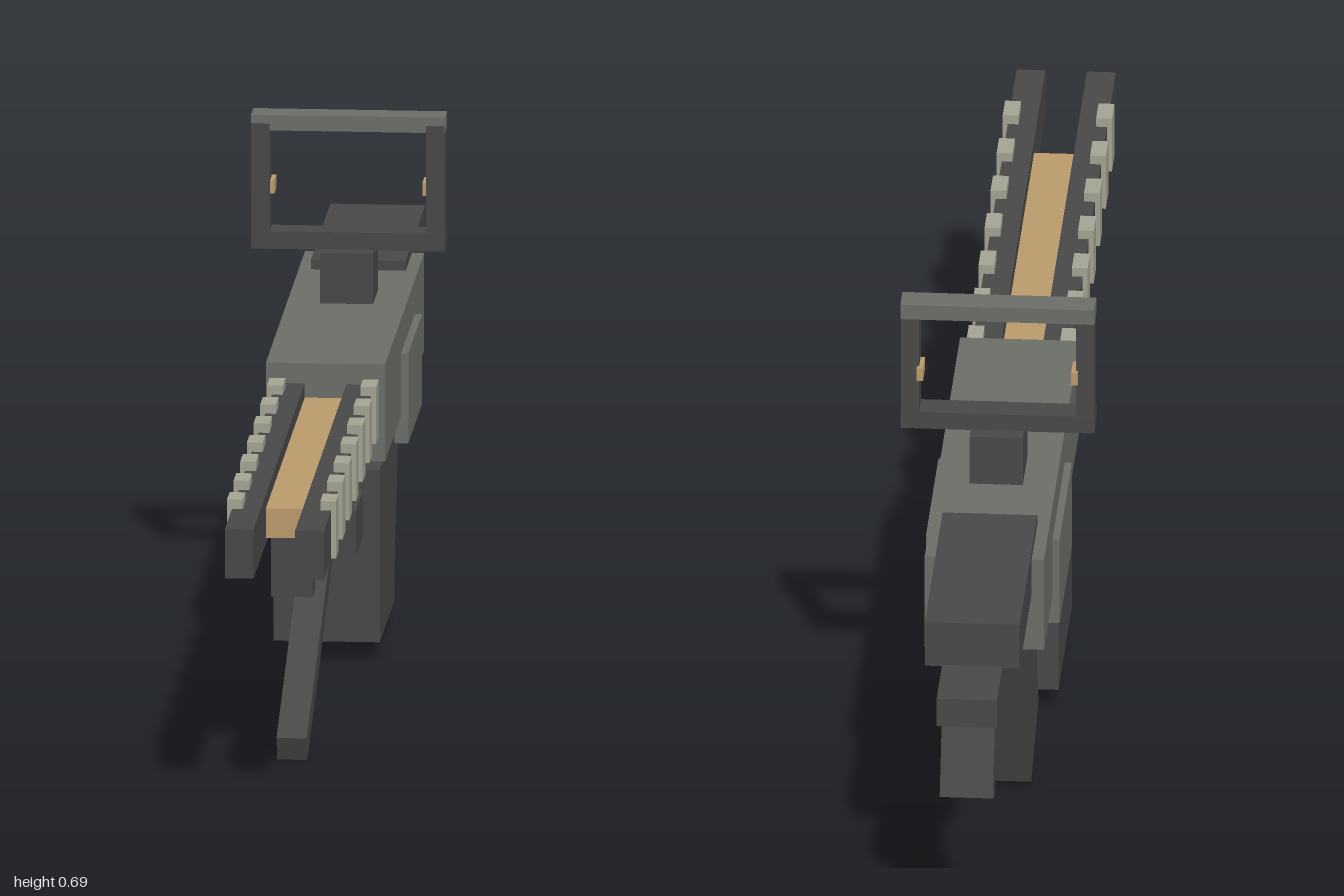
import * as THREE from 'three';

export function createModel() {
  const root = new THREE.Group();
  root.name = 'railRifle';

  const material = (name, color) => {
    const m = new THREE.MeshStandardMaterial({ color });
    m.name = name;
    return m;
  };
  const dark = material('darkMetal', 0x484848);
  const green = material('greyGreenMetal', 0x6a6e67);
  const pale = material('paleClamp', 0xa3a392);
  const tan = material('copperTan', 0xba9a6c);

  // Box from its extents along each axis
  function box(name, mat, [x0, x1], [y0, y1], [z0, z1]) {
    const mesh = new THREE.Mesh(new THREE.BoxGeometry(x1 - x0, y1 - y0, z1 - z0), mat);
    mesh.position.set((x0 + x1) / 2, (y0 + y1) / 2, (z0 + z1) / 2);
    mesh.name = name;
    root.add(mesh);
    return mesh;
  }
  // Box centred on x = 0, tilted about the x axis
  function tilted(name, mat, [w, h, d], y, z, degrees) {
    const mesh = new THREE.Mesh(new THREE.BoxGeometry(w, h, d), mat);
    mesh.position.set(0, y, z);
    mesh.rotation.x = THREE.MathUtils.degToRad(degrees);
    mesh.name = name;
    root.add(mesh);
    return mesh;
  }
  const half = (w) => [-w, w];
  const side = (s, a, b) => (s > 0 ? [a, b] : [-b, -a]);

  // Body
  box('receiver', green, half(0.083), [0.291, 0.429], [-0.64, 0.07]);
  box('sidePanels', green, half(0.093), [0.252, 0.38], [-0.47, -0.22]);

  // Barrel: central core between two rails carrying clamps
  box('barrelCore', tan, half(0.03), [0.338, 0.38], [0.05, 0.775]);
  for (const s of [-1, 1]) {
    box('rail', dark, side(s, 0.029, 0.069), [0.33, 0.4], [0.05, 1]);
    for (let i = 0; i < 7; i++) {
      const z = 0.12 + i * 0.1212;
      box('railClamp', pale, side(s, 0.054, 0.076), [0.332, 0.413], [z - 0.024, z + 0.024]);
    }
  }
  box('foreGrip', dark, half(0.029), [0.234, 0.339], [0.635, 0.685]);

  // Underside
  box('magazine', dark, half(0.074), [0.029, 0.274], [-0.218, 0.05]);
  box('magazineBlock', dark, half(0.05), [0.178, 0.243], [0.04, 0.17]);
  tilted('supportLeg', dark, [0.042, 0.036, 0.77], 0.157, 0.323, 21.3);
  tilted('pistolGrip', dark, [0.108, 0.265, 0.155], 0.161, -0.451, -21);

  // Stock
  box('stock', dark, half(0.066), [0.376, 0.443], [-0.88, -0.525]);
  box('stockBar', dark, half(0.042), [0.336, 0.378], [-0.99, -0.6]);
  tilted('buttHook', dark, [0.074, 0.14, 0.046], 0.287, -0.951, 23.3);

  // Sight
  box('sightPost', dark, half(0.037), [0.42, 0.501], [-0.4, -0.31]);
  box('sightBase', dark, half(0.135), [0.5, 0.525], [-0.376, -0.334]);
  box('sightTop', green, half(0.135), [0.668, 0.69], [-0.378, -0.336]);
  for (const s of [-1, 1]) {
    box('sightSide', dark, side(s, 0.109, 0.1345), [0.52, 0.678], [-0.375, -0.333]);
    box('sightMarker', tan, side(s, 0.103, 0.112), [0.576, 0.595], [-0.382, -0.345]);
  }
  return root;
}
